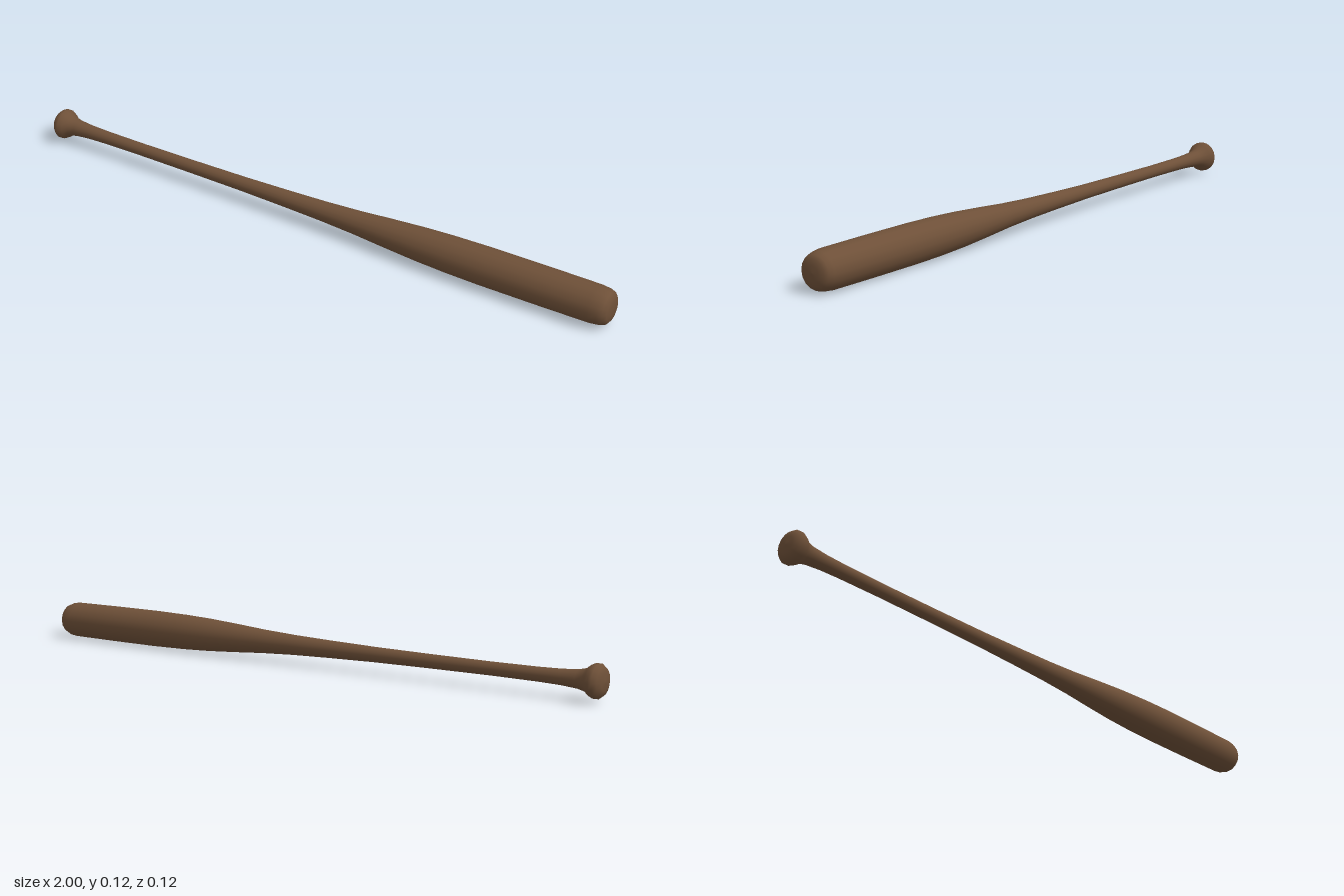
import * as THREE from 'three';

export function createModel() {
  const group = new THREE.Group();
  group.name = 'baseballBat';

  // Profile from knob to barrel tip: [radius, position along the length]
  const profile = [
    // knob
    [0, -1], [0.025, -0.998], [0.04, -0.992], [0.049, -0.98], [0.049, -0.97], [0.043, -0.957],
    // flare into the grip
    [0.032, -0.942], [0.027, -0.92], [0.023, -0.87], [0.021, -0.8],
    // handle
    [0.02, -0.65], [0.021, -0.45], [0.023, -0.25], [0.027, -0.08], [0.031, 0.05],
    // taper and barrel
    [0.037, 0.17], [0.045, 0.28], [0.052, 0.39], [0.056, 0.49], [0.058, 0.6], [0.058, 0.78], [0.057, 0.945],
    // rounded tip
    [0.054, 0.972], [0.048, 0.988], [0.037, 0.996], [0.02, 0.999], [0, 1],
  ].map(([r, t]) => new THREE.Vector2(r, t));

  const bat = new THREE.Mesh(
    new THREE.LatheGeometry(profile, 16),
    new THREE.MeshStandardMaterial({ color: 0x6e5038 }),
  );
  bat.name = 'bat';
  bat.rotation.z = -Math.PI / 2; // barrel towards +x
  bat.position.y = 0.059;
  group.add(bat);
  return group;
}
